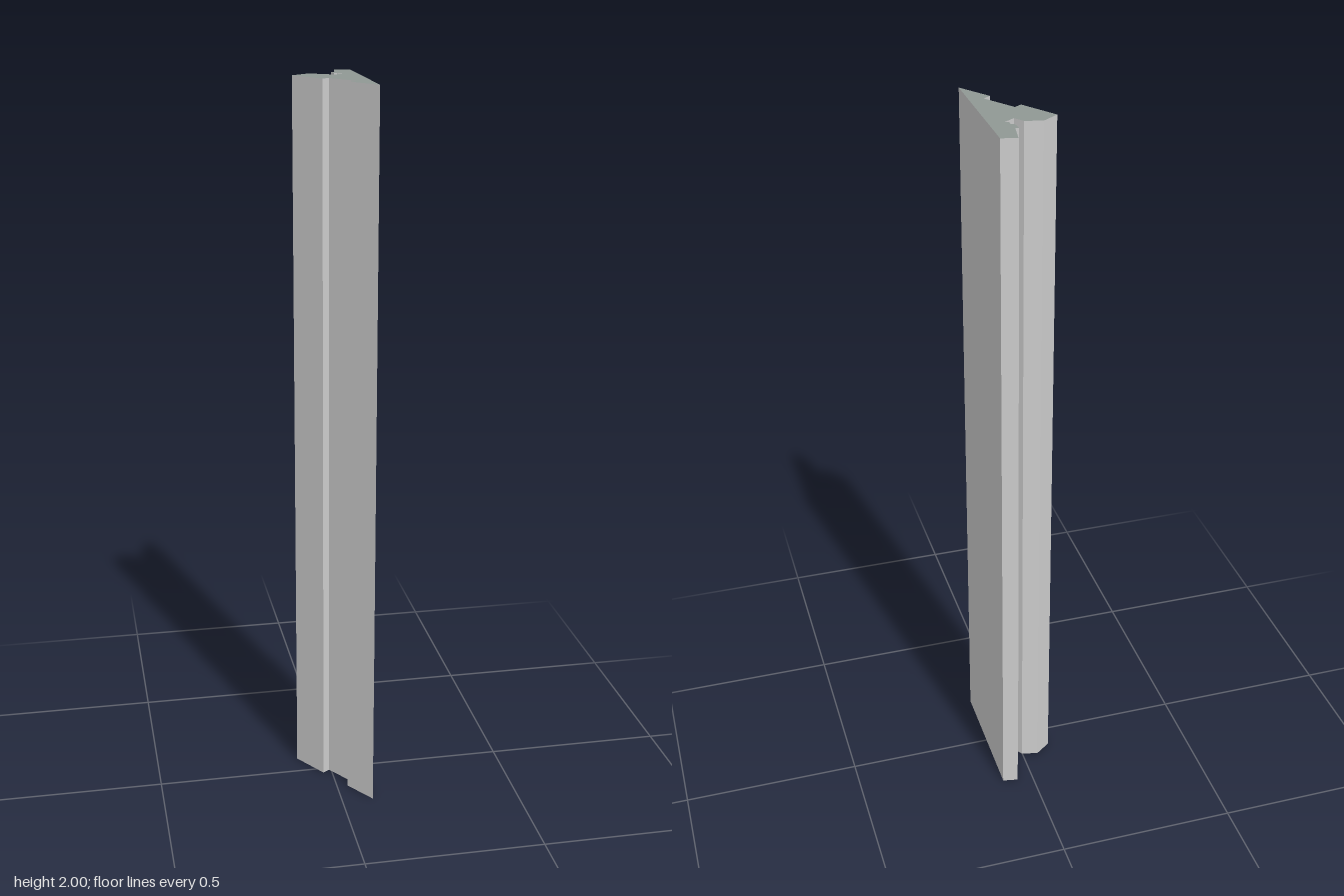
import * as THREE from 'three';

export function createModel() {
  const model = new THREE.Group();
  model.name = 'trimProfile';
  const height = 2;
  const wallGrey = new THREE.MeshStandardMaterial({ color: 0xcccccc, side: THREE.DoubleSide });
  wallGrey.name = 'wallGrey';
  const endGrey = new THREE.MeshStandardMaterial({ color: 0x8f9894, side: THREE.DoubleSide });
  endGrey.name = 'endGrey';

  // Cross-section as [x, z], counter-clockwise seen from above
  const section = [
    [0.088, -0.185], [0.046, -0.193], [0.035, -0.130], [0.026, -0.132],
    [0.028, -0.102], [0.038, -0.100], [0.037, -0.087], [0.049, -0.084],
    [0.019, -0.064], [0.001, -0.089], [-0.045, -0.100], [-0.088, -0.069],
    [-0.025, 0.024], [-0.006, 0.011], [0.050, 0.092], [0.030, 0.106],
    [0.088, 0.189],
  ];

  // Walls: one flat strip per side of the section, open at the bottom
  const positions = [];
  section.forEach(([ax, az], i) => {
    const [bx, bz] = section[(i + 1) % section.length];
    positions.push(
      ax, 0, az, bx, 0, bz, bx, height, bz,
      ax, 0, az, bx, height, bz, ax, height, az,
    );
  });
  const wallGeometry = new THREE.BufferGeometry();
  wallGeometry.setAttribute('position', new THREE.Float32BufferAttribute(positions, 3));
  wallGeometry.computeVertexNormals();
  const walls = new THREE.Mesh(wallGeometry, wallGrey);
  walls.name = 'walls';

  // Top end face
  const shape = new THREE.Shape(section.map(([x, z]) => new THREE.Vector2(x, -z)));
  const capGeometry = new THREE.ShapeGeometry(shape).rotateX(-Math.PI / 2).translate(0, height, 0);
  const cap = new THREE.Mesh(capGeometry, endGrey);
  cap.name = 'topEnd';

  model.add(walls, cap);
  return model;
}
